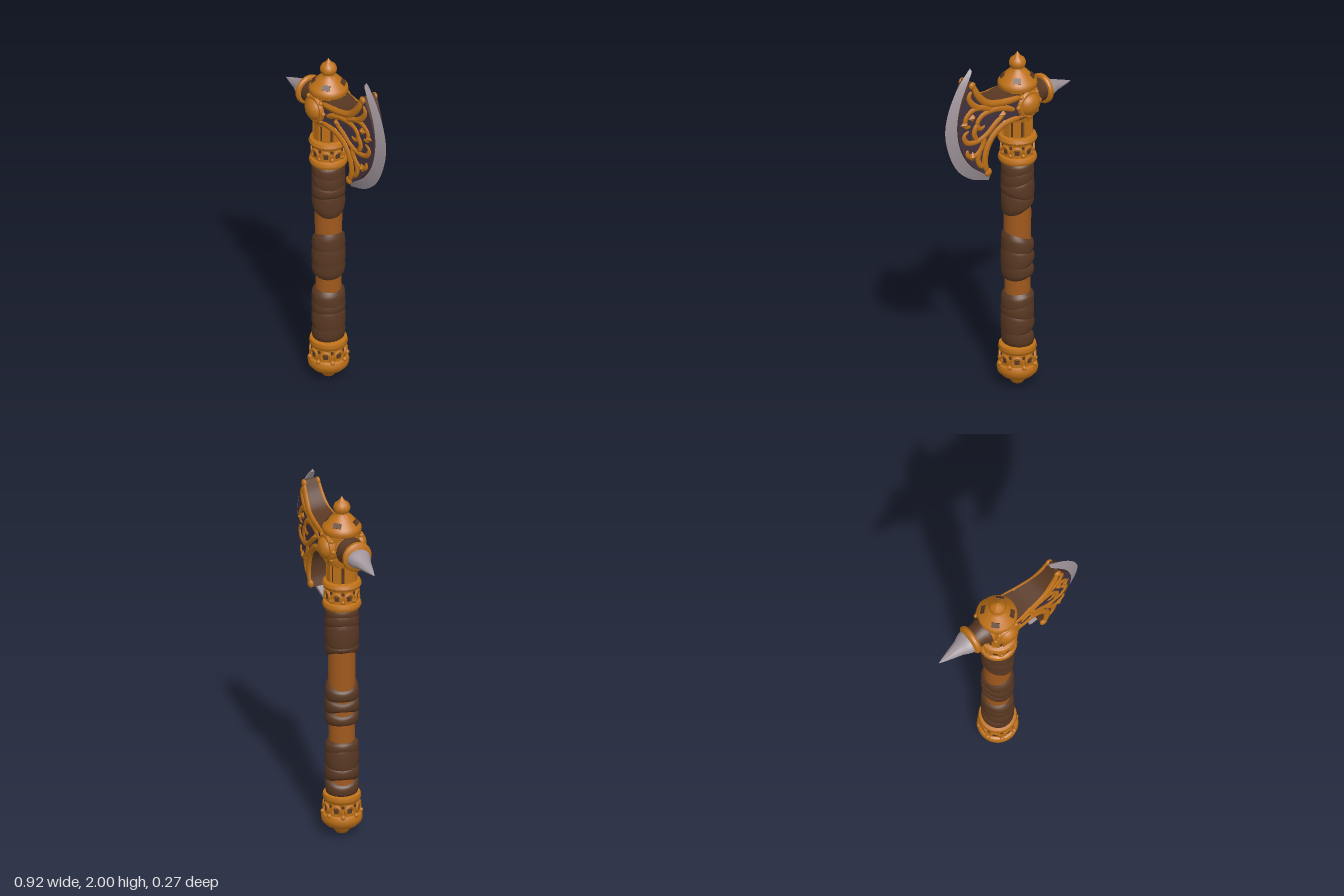
import * as THREE from 'three';
import { toCreasedNormals } from 'three/addons/utils/BufferGeometryUtils.js';

const AX = -0.07; // handle axis
const HY = 1.7; // height of the head's cross axis

export function createModel() {
  const root = new THREE.Group();
  root.name = 'battleAxe';
  const mat = (name, color, side = THREE.FrontSide) => {
    const m = new THREE.MeshStandardMaterial({ color, side });
    m.name = name;
    return m;
  };
  const gold = mat('gold', 0xbd7017);
  const wood = mat('wood', 0xa0591d);
  const leather = mat('leather', 0x593822, THREE.DoubleSide);
  const steel = mat('steel', 0x9f949a, THREE.DoubleSide);
  const inlay = mat('darkInlay', 0x43323f);

  const add = (name, geo, m, x = 0, y = 0, z = 0) => {
    const mesh = new THREE.Mesh(geo, m);
    mesh.name = name;
    mesh.position.set(x, y, z);
    root.add(mesh);
    return mesh;
  };
  const vec2 = (pts) => pts.map(([x, y]) => new THREE.Vector2(x, y));
  const lathe = (pts, n = 32) => toCreasedNormals(new THREE.LatheGeometry(vec2(pts), n), 0.7);
  // Move every vertex by a rule
  const warp = (geo, rule) => {
    const p = geo.attributes.position;
    const v = new THREE.Vector3();
    for (let i = 0; i < p.count; i++) {
      v.fromBufferAttribute(p, i);
      rule(v, i);
      p.setXYZ(i, v.x, v.y, v.z);
    }
    geo.computeVertexNormals();
    return geo;
  };
  // Repeat a small part around the handle, facing outward
  const around = (name, geo, m, n, r, y, start = 0) => {
    for (let i = 0; i < n; i++) {
      const a = start + (i / n) * Math.PI * 2;
      add(name, geo, m, AX + Math.sin(a) * r, y, Math.cos(a) * r).rotation.y = a;
    }
  };

  // ---- Handle ----
  add('shaft', lathe([[0.073, 0.2], [0.07, 0.6], [0.074, 1.0], [0.073, 1.4]]), wood, AX);

  // Leather wraps: overlapping bands, each tilted its own way
  const band = (y0, y1, tilt, tiltTop, r) => {
    const geo = new THREE.CylinderGeometry(1, 1, 1, 28, 7, true);
    warp(geo, (v) => {
      const t = v.y + 0.5;
      const rad = r + 0.009 * Math.sin(Math.PI * t) - (t === 0 || t === 1 ? 0.012 : 0);
      const k = THREE.MathUtils.lerp(tilt, tiltTop, t);
      v.y = THREE.MathUtils.lerp(y0, y1, t) + k * (v.x + 0.35 * v.z) * 0.085;
      v.x *= rad;
      v.z *= rad * 1.06;
    });
    add('leatherWrap', geo, leather, AX);
  };
  band(0.24, 0.35, 0, 0.4, 0.078);
  band(0.31, 0.44, -0.35, 0.3, 0.08);
  band(0.39, 0.52, 0.3, -0.35, 0.079);
  band(0.46, 0.56, -0.4, 0, 0.078);
  band(0.645, 0.75, -0.15, 0.35, 0.078);
  band(0.7, 0.83, -0.45, 0.4, 0.08);
  band(0.78, 0.9, -0.2, 0.35, 0.078);
  band(1.05, 1.16, -0.45, 0.35, 0.078);
  band(1.11, 1.25, 0.35, -0.4, 0.08);
  band(1.2, 1.31, -0.4, -0.1, 0.079);
  band(1.26, 1.345, -0.3, 0, 0.078);

  // ---- Pommel ----
  add('pommel', lathe([
    [0, 0.005], [0.03, 0.012], [0.048, 0.035], [0.055, 0.05], [0.085, 0.06], [0.108, 0.085], [0.112, 0.11],
    [0.106, 0.128], [0.094, 0.135], [0.092, 0.205], [0.1, 0.212], [0.104, 0.228], [0.1, 0.246], [0.075, 0.252],
  ]), gold, AX);
  const arch = new THREE.TorusGeometry(0.025, 0.009, 6, 12, Math.PI * 1.4).rotateZ(-Math.PI * 0.2);
  const stud = new THREE.SphereGeometry(0.013, 10, 8);
  const slot = new THREE.BoxGeometry(0.026, 0.026, 0.009);
  const chip = new THREE.BoxGeometry(0.014, 0.018, 0.009);
  around('pommelScroll', arch, gold, 8, 0.093, 0.168);
  around('pommelInlay', slot, leather, 8, 0.0905, 0.166);
  around('pommelChip', chip, leather, 8, 0.09, 0.19, Math.PI / 8);
  around('pommelStud', stud, gold, 8, 0.102, 0.135, Math.PI / 8);

  // ---- Collar below the head ----
  add('collar', lathe([
    [0.075, 1.338], [0.1, 1.342], [0.106, 1.358], [0.1, 1.376], [0.087, 1.382], [0.085, 1.455], [0.1, 1.46],
    [0.107, 1.476], [0.1, 1.494], [0.078, 1.502],
  ]), gold, AX);
  around('collarScroll', arch, gold, 8, 0.086, 1.415);
  around('collarInlay', slot, leather, 8, 0.0835, 1.412);
  around('collarChip', chip, leather, 8, 0.083, 1.44, Math.PI / 8);
  around('collarStud', stud, gold, 8, 0.087, 1.395, Math.PI / 8);

  // ---- Head hub ----
  add('hub', lathe([[0.072, 1.49], [0.072, 1.58], [0.085, 1.63], [0.092, 1.68], [0.092, 1.79]]), leather, AX);
  add('hubBand', lathe([[0.07, 1.592], [0.082, 1.595], [0.093, 1.635], [0.093, 1.645], [0.086, 1.65]]), gold, AX);
  around('hubStrap', new THREE.BoxGeometry(0.043, 0.13, 0.018), gold, 8, 0.073, 1.555);
  around('upperStrap', new THREE.BoxGeometry(0.06, 0.15, 0.02), gold, 4, 0.087, 1.715, Math.PI / 4);
  add('crown', lathe([
    [0.085, 1.775], [0.102, 1.78], [0.107, 1.796], [0.105, 1.812], [0.098, 1.82], [0.054, 1.868], [0.046, 1.875],
    [0.038, 1.884], [0.036, 1.892], [0.044, 1.905], [0.046, 1.922], [0.038, 1.942], [0.018, 1.957], [0.009, 1.97], [0, 1.985],
  ]), gold, AX);
  const slit = new THREE.BoxGeometry(0.044, 0.03, 0.008).rotateX(-0.74);
  around('crownWindow', slit, leather, 4, 0.079, 1.84, Math.PI / 4);

  // Round bosses on both faces, with a rim and studs
  for (const s of [1, -1]) {
    const boss = lathe([[0.075, 0.06], [0.08, 0.092], [0.072, 0.104], [0.06, 0.104], [0.052, 0.12], [0.028, 0.133], [0, 0.136]], 28);
    add('boss', boss.rotateX((s * Math.PI) / 2), gold, AX, HY);
    for (let i = 0; i < 8; i++) {
      const a = (i / 8) * Math.PI * 2;
      add('bossStud', stud, gold, AX + Math.cos(a) * 0.077, HY + Math.sin(a) * 0.077, s * 0.09);
    }
  }

  // ---- Rear arm and spike ----
  const sideways = (pts) => lathe(pts, 24).rotateZ(Math.PI / 2);
  add('rearArm', sideways([[0.07, 0.05], [0.078, 0.155], [0.076, 0.172], [0.064, 0.195], [0.066, 0.25]]), leather, 0, HY);
  add('rearArmBand', sideways([[0.07, 0.135], [0.082, 0.138], [0.083, 0.155], [0.07, 0.16]]), gold, 0, HY);
  add('rearRing', sideways([[0.055, 0.232], [0.078, 0.235], [0.085, 0.246], [0.083, 0.26], [0.07, 0.27], [0, 0.27]]), gold, 0, HY);
  const spike = sideways([[0.066, 0.265], [0.066, 0.28], [0.056, 0.305], [0.043, 0.33], [0.03, 0.375], [0.016, 0.42], [0, 0.463]]);
  warp(spike, (v) => { v.y = v.y * 0.75 + (v.x + 0.265) * 0.14; });
  add('rearSpike', toCreasedNormals(spike, 0.7), steel, 0, HY);

  // ---- Blade ----
  const half = (x) => 0.08 - 0.133 * x; // half thickness of the blade body
  const curve = (pts) => new THREE.CatmullRomCurve3(pts.map(([x, y]) => new THREE.Vector3(x, y, 0)));
  const flat = (c, n) => c.getPoints(n).map((p) => new THREE.Vector2(p.x, p.y));
  const topEdge = curve([[-0.04, 1.775], [0.05, 1.775], [0.13, 1.782], [0.2, 1.805], [0.26, 1.865], [0.297, 1.935]]);
  const lowEdge = curve([[-0.04, 1.62], [0.04, 1.618], [0.1, 1.605], [0.16, 1.56], [0.197, 1.49], [0.2, 1.42], [0.18, 1.355]]);
  const innerArc = curve([[0.275, 1.985], [0.315, 1.925], [0.373, 1.81], [0.396, 1.68], [0.368, 1.54], [0.3, 1.435], [0.225, 1.37], [0.14, 1.318]]);
  const outerArc = curve([[0.28, 2.0], [0.37, 1.91], [0.437, 1.79], [0.462, 1.67], [0.432, 1.53], [0.365, 1.41], [0.265, 1.33], [0.14, 1.285]]);
  const arcMid = flat(innerArc, 40).slice(5, 35);

  const bodyOutline = [...flat(topEdge, 24), ...arcMid, ...flat(lowEdge, 24).reverse()];
  const body = new THREE.ExtrudeGeometry(new THREE.Shape(bodyOutline), { depth: 2, bevelEnabled: false });
  warp(body, (v) => { v.z = (v.z - 1) * half(v.x); });
  add('bladeBody', toCreasedNormals(body, 0.6), leather);

  // Dark inlay on both faces, slightly inside the body outline
  const insetOutline = [...flat(topEdge, 24).map((p) => p.set(p.x, p.y - 0.012)), ...arcMid,
    ...flat(lowEdge, 24).reverse().map((p) => p.set(p.x + 0.008, p.y + 0.008))];
  for (const s of [1, -1]) {
    const geo = new THREE.ExtrudeGeometry(new THREE.Shape(insetOutline), { depth: 0.006, bevelEnabled: false });
    warp(geo, (v) => { v.z = v.z - 0.003 + s * (half(v.x) + 0.001); });
    add('bladeInlay', toCreasedNormals(geo, 0.6), inlay);
  }

  // Steel cutting edge: thick on the inside, sharp on the outside
  const N = 48;
  const pos = [];
  const idx = [];
  for (let i = 0; i <= N; i++) {
    const a = innerArc.getPoint(i / N);
    const b = outerArc.getPoint(i / N);
    const t = 0.01 + 0.014 * Math.sqrt(Math.max(0, Math.sin((Math.PI * i) / N)));
    pos.push(a.x, a.y, t, b.x, b.y, 0, a.x, a.y, -t);
    if (i === N) continue;
    for (let j = 0; j < 3; j++) {
      const p = i * 3 + j;
      const q = i * 3 + ((j + 1) % 3);
      idx.push(p, p + 3, q, q, p + 3, q + 3);
    }
  }
  idx.push(0, 1, 2, N * 3, N * 3 + 2, N * 3 + 1);
  const edge = new THREE.BufferGeometry();
  edge.setAttribute('position', new THREE.Float32BufferAttribute(pos, 3));
  edge.setIndex(idx);
  add('cuttingEdge', toCreasedNormals(edge, 0.6), steel);

  // Raised gold relief lying on both faces, tapering towards its ends
  const relief = (name, c, r, taper) => {
    const n = 32;
    for (const s of [1, -1]) {
      const geo = new THREE.TubeGeometry(c, n, r, 8);
      warp(geo, (v, i) => {
        const u = Math.floor(i / 9) / n;
        const mid = c.getPointAt(u);
        const k = Math.pow(Math.max(0, 1 - Math.pow(Math.abs(2 * u - 1), 6)), 0.5) * (1 - taper * u);
        v.sub(mid).multiplyScalar(k).add(mid);
        v.z = v.z * 0.6 + s * (half(mid.x) + 0.002);
      });
      add(name, geo, gold);
    }
  };
  relief('topFrame', curve([[-0.02, 1.757], [0.05, 1.757], [0.13, 1.764], [0.207, 1.788], [0.268, 1.853], [0.3, 1.925]]), 0.021, 0);
  relief('lowerFrame', curve([[-0.02, 1.638], [0.045, 1.637], [0.11, 1.622], [0.175, 1.57], [0.214, 1.49], [0.217, 1.42], [0.193, 1.36]]), 0.021, 0);
  [
    [[0.02, 1.69], [0.08, 1.72], [0.16, 1.735], [0.24, 1.72], [0.27, 1.68], [0.25, 1.645], [0.215, 1.66]],
    [[0.17, 1.735], [0.24, 1.77], [0.3, 1.77], [0.345, 1.73], [0.34, 1.68], [0.31, 1.68]],
    [[0.09, 1.69], [0.15, 1.65], [0.21, 1.6], [0.28, 1.575], [0.34, 1.59], [0.355, 1.635], [0.32, 1.655]],
    [[0.22, 1.6], [0.235, 1.54], [0.28, 1.495], [0.33, 1.51], [0.335, 1.545]],
    [[0.25, 1.52], [0.265, 1.47], [0.25, 1.43], [0.22, 1.41]],
    [[0.25, 1.77], [0.295, 1.8], [0.325, 1.85], [0.31, 1.89]],
    [[0.27, 1.68], [0.29, 1.63], [0.27, 1.58]],
  ].forEach((pts) => relief('scroll', curve(pts), 0.02, 0.25));

  // Pointed buds between the scrolls, and knobs ending the frames
  const bud = new THREE.OctahedronGeometry(1);
  const knob = new THREE.SphereGeometry(1, 12, 8);
  const spots = [
    [bud, 0.3, 1.495, 0.034], [bud, 0.35, 1.7, 0.03], [bud, 0.3, 1.725, 0.03], [bud, 0.1, 1.69, 0.03],
    [knob, 0.3, 1.915, 0.022], [knob, 0.196, 1.37, 0.024], [knob, 0.09, 1.757, 0.022], [knob, 0.09, 1.632, 0.022],
  ];
  for (const [geo, x, y, r] of spots) {
    for (const s of [1, -1]) add('reliefBud', geo, gold, x, y, s * half(x)).scale.set(r, r, r * 0.6);
  }
  return root;
}
